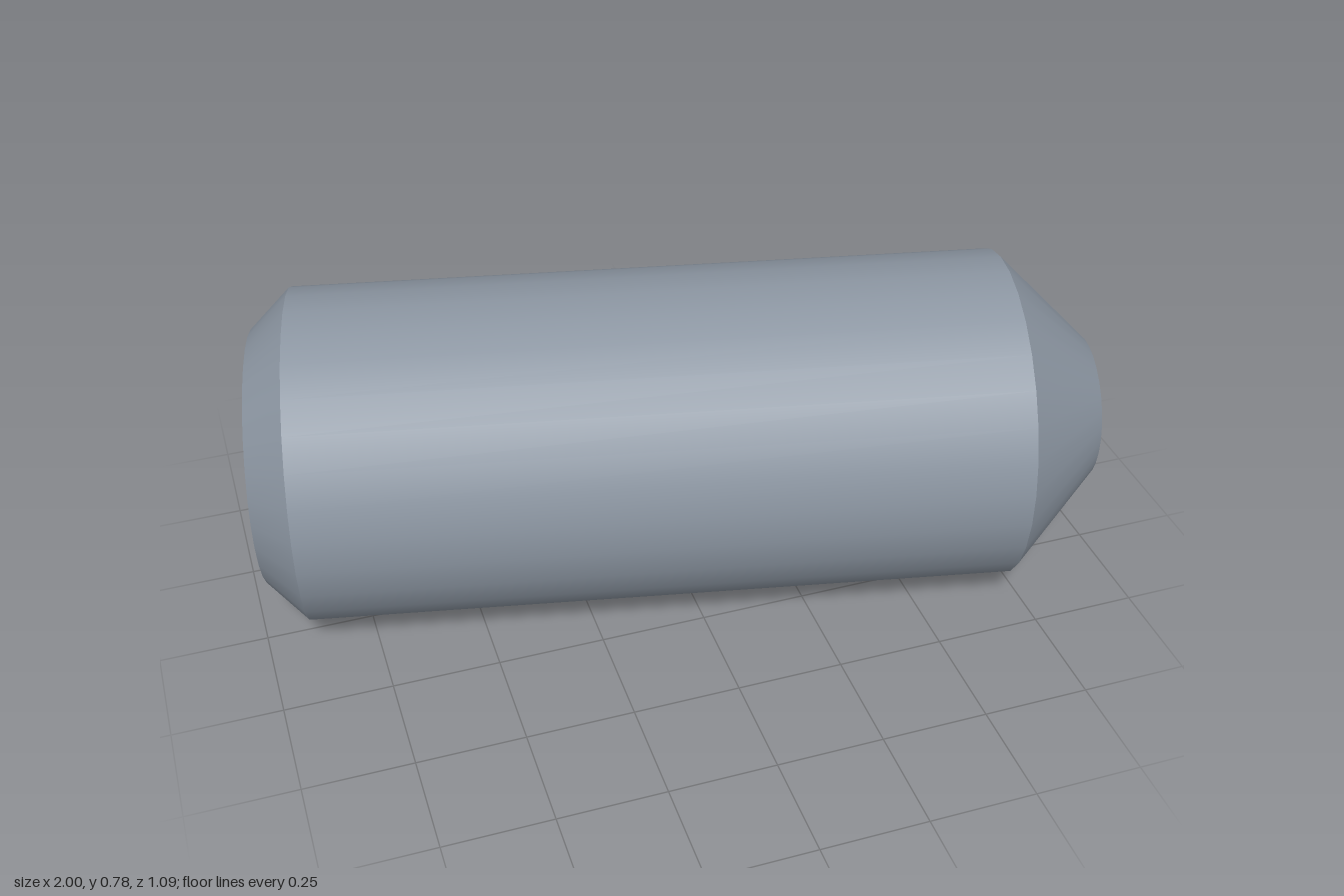
import * as THREE from 'three';

const SIDES = 30;
const RADIUS = 0.388;      // body radius
const END = 0.971;         // half length along the axis
const RIM = 0.203;         // socket opening radius, equal to the hexagon corner radius
const FLAT = 0.1758;       // hexagon centre to flat
const SOCKET_FLOOR = -END + 0.66;

export function createModel() {
  const model = new THREE.Group();
  model.name = 'setScrew';
  const steel = new THREE.MeshStandardMaterial({ color: 0x8c96a2 });
  steel.name = 'steel';

  // everything is turned around y, then laid along x
  const screw = new THREE.Group();
  screw.name = 'screw';
  const add = (name, geometry) => {
    geometry.rotateZ(-Math.PI / 2);
    const mesh = new THREE.Mesh(geometry, steel);
    mesh.name = name;
    screw.add(mesh);
  };
  const turn = (points) => new THREE.LatheGeometry(
    points.map(([r, y]) => new THREE.Vector2(r, y)), SIDES, Math.PI / 2);

  // outer surfaces, each its own band so the edges between them stay sharp
  const bands = {
    socketEndFace: [[RIM, -END], [0.296, -END]],
    socketEndChamfer: [[0.296, -END], [RADIUS, -0.877]],
    body: [[RADIUS, -0.877], [RADIUS, 0.757]],
    pointTaper: [[RADIUS, 0.757], [0.17, END]],
    cupPoint: [[0.17, END], [0, END - 0.1]],
  };
  for (const [name, points] of Object.entries(bands)) add(name, turn(points));

  // hexagonal socket: a turned bore whose wall is pulled in to six flats,
  // meeting the round opening through a conical lead-in
  const socket = turn([[0, SOCKET_FLOOR], [RIM, SOCKET_FLOOR], [RIM, -END], [RIM, -END]]);
  const pos = socket.attributes.position;
  const sixth = Math.PI / 3;
  for (let i = 0; i <= SIDES; i++) {
    const angle = (i / SIDES) * Math.PI * 2;
    const fromFlat = angle - Math.floor(angle / sixth + 1e-6) * sixth - sixth / 2;
    const r = FLAT / Math.cos(fromFlat);
    const leadIn = Math.max(0, RIM - r) * 1.7;
    for (const j of [1, 2]) {
      const k = i * 4 + j;
      pos.setXYZ(k, pos.getX(k) * r / RIM, j === 1 ? SOCKET_FLOOR : -END + leadIn, pos.getZ(k) * r / RIM);
    }
  }
  const facetedSocket = socket.toNonIndexed();
  facetedSocket.computeVertexNormals();
  add('hexSocket', facetedSocket);

  // the screw lies on the ground, turned slightly
  screw.rotation.y = -THREE.MathUtils.degToRad(12);
  screw.position.set(0, RADIUS, 0);
  model.add(screw);

  // centre the footprint
  model.updateMatrixWorld(true);
  const centre = new THREE.Box3().setFromObject(model, true).getCenter(new THREE.Vector3());
  screw.position.x -= centre.x;
  screw.position.z -= centre.z;
  return model;
}
